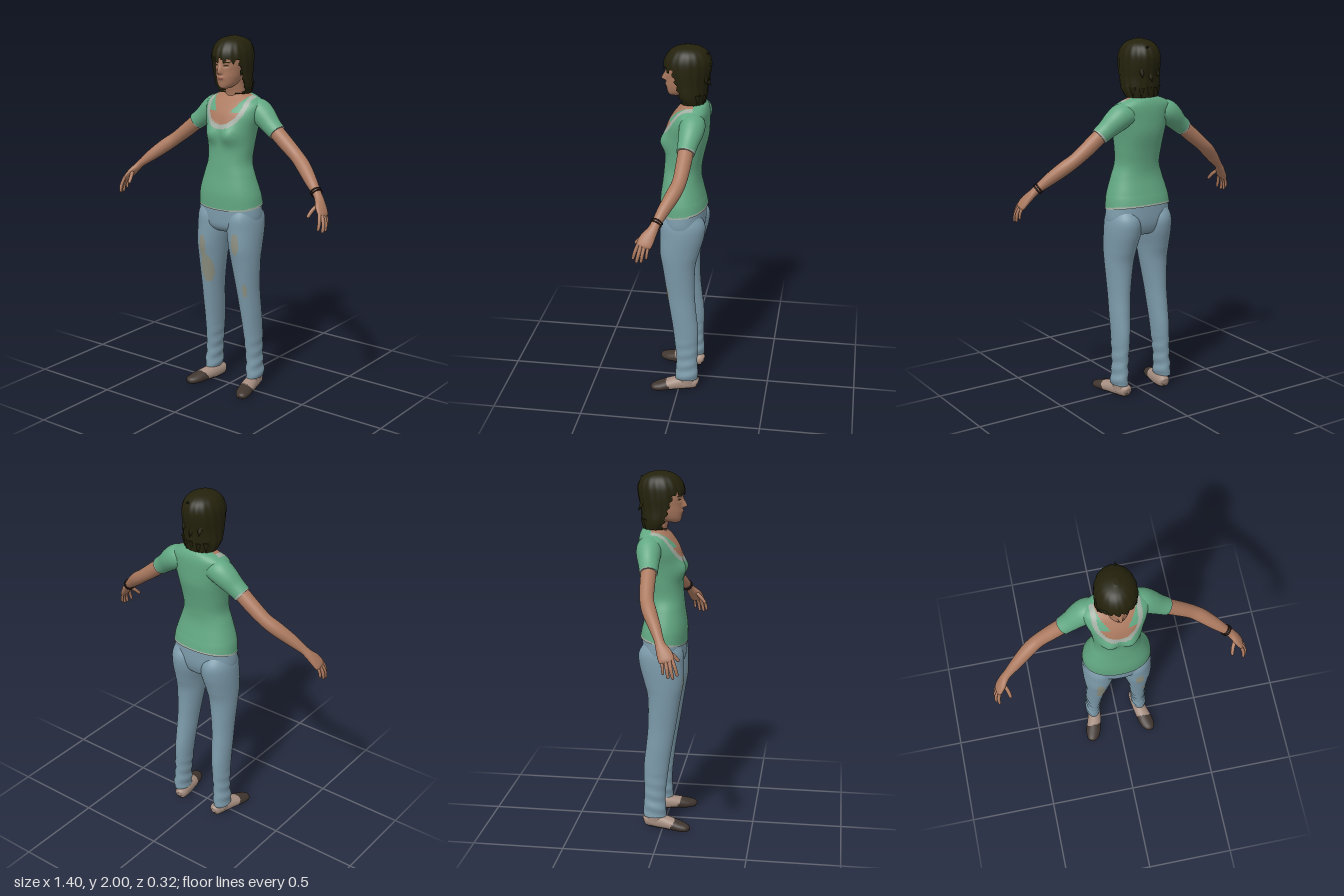
import * as THREE from 'three';

const mat = (name, color, side = THREE.FrontSide) => {
  const m = new THREE.MeshStandardMaterial({ color, side });
  m.name = name;
  return m;
};

// Smooth skin over elliptical cross-sections [x, y, z, radius along ref, other radius].
function loft(sections, { rings = 30, segs = 32, ref = [0, 0, 1], level = false, power = 1, warp } = {}) {
  const path = new THREE.CatmullRomCurve3(sections.map(s => new THREE.Vector3(s[0], s[1], s[2])), false, 'catmullrom');
  const size = new THREE.CatmullRomCurve3(sections.map(s => new THREE.Vector3(s[3], s[4], 0)), false, 'catmullrom');
  const pos = [], idx = [], R = new THREE.Vector3(...ref);
  const bend = n => Math.sign(n) * Math.abs(n) ** power;
  for (let i = 0; i <= rings; i++) {
    const t = i / rings, c = path.getPoint(t), r = size.getPoint(t);
    const d = level ? new THREE.Vector3(0, 1, 0) : path.getTangent(t);
    const a = R.clone().addScaledVector(d, -R.dot(d)).normalize();
    const b = d.clone().cross(a);
    for (let j = 0; j < segs; j++) {
      const q = j / segs * Math.PI * 2;
      const p = c.clone().addScaledVector(a, r.x * bend(Math.cos(q))).addScaledVector(b, r.y * bend(Math.sin(q)));
      if (warp) warp(p, q);
      pos.push(p.x, p.y, p.z);
    }
  }
  for (let i = 0; i < rings; i++) for (let j = 0; j < segs; j++) {
    const k = (j + 1) % segs, a = i * segs, b = a + segs;
    idx.push(a + j, a + k, b + k, a + j, b + k, b + j);
  }
  // End caps with their own corners, so the rim stays sharp
  for (const end of [0, rings]) {
    const base = pos.length / 3, mid = [0, 0, 0];
    for (let j = 0; j < segs; j++) for (let k = 0; k < 3; k++) {
      const n = pos[(end * segs + j) * 3 + k];
      pos.push(n);
      mid[k] += n / segs;
    }
    pos.push(...mid);
    for (let j = 0; j < segs; j++) {
      const k = (j + 1) % segs;
      idx.push(base + segs, base + (end ? j : k), base + (end ? k : j));
    }
  }
  const g = new THREE.BufferGeometry();
  g.setAttribute('position', new THREE.Float32BufferAttribute(pos, 3));
  g.setIndex(idx);
  g.computeVertexNormals();
  return g;
}

// Sort faces into material groups by a rule on their centres; -1 removes a face.
function paint(g, count, rule) {
  const p = g.attributes.position, old = g.index.array, bins = Array.from({ length: count }, () => []);
  for (let i = 0; i < old.length; i += 3) {
    const t = [old[i], old[i + 1], old[i + 2]];
    const avg = f => (p[f](t[0]) + p[f](t[1]) + p[f](t[2])) / 3;
    const m = rule(avg('getX'), avg('getY'), avg('getZ'));
    if (m >= 0) bins[m].push(...t);
  }
  g.setIndex(bins.flat());
  let start = 0;
  bins.forEach((b, i) => { g.addGroup(start, b.length, i); start += b.length; });
  return g;
}

// Level section from height, centre x, half width, front z and back z
const lv = (y, x, w, f, b) => [x, y, (f + b) / 2, (f - b) / 2, w];
const bump = (...n) => Math.exp(-n.reduce((s, v) => s + v * v, 0));
const inOval = (x, y, cx, cy, rx, ry) => ((x - cx) / rx) ** 2 + ((y - cy) / ry) ** 2 < 1;

export function createModel() {
  const model = new THREE.Group();
  const shirt = mat('shirt green', 0x62a883), jeans = mat('denim blue', 0x7c9aaa), skin = mat('skin', 0xac7a60);
  const hair = mat('dark hair', 0x24220c, THREE.DoubleSide), trim = mat('grey trim', 0xa3ada2);
  const worn = mat('worn denim', 0x8f9283), beige = mat('shoe beige', 0xa58d80), sole = mat('shoe brown', 0x40352f);
  const lip = mat('lips', 0x8f5647), dark = mat('bracelet brown', 0x2a1c18);
  const add = (name, geo, material, parent = model) => {
    const m = new THREE.Mesh(geo, material);
    m.name = name;
    parent.add(m);
    return m;
  };

  // Shirt body with scooped neckline, collar flaps and hem
  const body = loft([lv(1.06, 0, .191, .117, -.14), lv(1.15, 0, .181, .118, -.128), lv(1.25, 0, .15, .105, -.106),
    lv(1.32, 0, .128, .098, -.106), lv(1.4, 0, .132, .092, -.12), lv(1.5, 0, .145, .092, -.143),
    lv(1.58, 0, .165, .075, -.147), lv(1.64, 0, .172, .036, -.145), lv(1.672, 0, .13, .006, -.137),
    lv(1.69, 0, .08, -.01, -.125), lv(1.7, 0, .05, -.02, -.11)],
  { rings: 110, segs: 112, level: true, power: .9, warp: p => {
    if (p.z > 0) p.z += .028 * bump((Math.abs(p.x) - .06) / .05, (p.y - 1.475) / .05);
    p.y += THREE.MathUtils.clamp((1.16 - p.y) / .1, 0, 1) * (.117 - p.z) * .15;
  } });
  add('shirtBody', paint(body, 3, (x, y, z) => {
    const ax = Math.abs(x), drop = Math.min(0, y - 1.645);
    if (y - (.117 - z) * .15 < 1.07) return 1;
    if (z < -.07 || Math.hypot(ax / .132, drop / .138) > 1) return 0;
    if (Math.hypot(ax / .106, drop / .112) > 1) return 1;
    return y > 1.6 && y < 1.605 + (ax - .05) * 1.35 ? 0 : 2;
  }), [shirt, trim, skin]);

  // Trouser seat
  add('trouserSeat', loft([lv(.925, 0, .04, .04, -.06), lv(.935, 0, .1, .08, -.1), lv(.965, 0, .17, .105, -.12),
    lv(1.02, 0, .192, .11, -.13), lv(1.12, 0, .182, .108, -.125)], { level: true, segs: 48, power: .9 }), jeans);

  for (const s of [1, -1]) {
    const side = new THREE.Group();
    side.name = s > 0 ? 'leftLimbs' : 'rightLimbs';
    model.add(side);
    const flip = list => list.map(([x, ...rest]) => [x * s, ...rest]);

    // Trouser leg with faded patches
    const leg = loft(flip([lv(1.08, .1, .07, .08, -.1), lv(1.02, .1, .09, .106, -.137), lv(.95, .1, .096, .11, -.135),
      lv(.85, .109, .086, .11, -.108), lv(.76, .114, .077, .095, -.087), lv(.6, .122, .06, .07, -.086),
      lv(.48, .128, .054, .05, -.096), lv(.36, .133, .048, .032, -.108), lv(.2, .14, .042, .015, -.105),
      lv(.11, .145, .044, .019, -.11), lv(.07, .146, .042, .02, -.108)].reverse()),
    { rings: 84, segs: 60, level: true, warp: p => {
      if (p.y < .3) p.x += .003 * Math.sin(p.y * 90 + p.z * 20);
    } });
    add('trouserLeg', paint(leg, 2, (x, y, z) => {
      if (z < 0) return 0;
      return inOval(x, y, -.1, .7, .035, .085) || inOval(x, y, -.113, .83, .022, .07)
        || inOval(x, y, .112, .88, .024, .062) || inOval(x, y, .148, .61, .011, .04) ? 1 : 0;
    }), [jeans, worn], side);

    // Ankle and flat shoe, toes turned out
    add('ankle', loft(flip([lv(.03, .14, .036, .01, -.095), lv(.075, .143, .034, 0, -.09), lv(.14, .143, .034, -.005, -.09)]),
      { level: true, rings: 10 }), beige, side);
    const shoe = loft(flip([[.126, .035, -.11, .012, .014], [.128, .038, -.094, .034, .034], [.137, .035, -.03, .038, .044],
      [.154, .03, .04, .042, .036], [.171, .022, .1, .043, .028], [.185, .017, .14, .03, .02], [.19, .014, .156, .01, .008]]),
    { ref: [1, 0, 0], rings: 36, segs: 36, warp: p => { p.y = Math.max(0, p.y); } });
    add('shoe', paint(shoe, 2, (x, y, z) => y < .014 || z > .04 + y * .5 ? 1 : 0), [beige, sole], side);

    // Sleeve with thin cuff edge
    const sleeve = loft(flip([[.1, 1.6, -.072, .062, .06], [.14, 1.598, -.073, .068, .068], [.18, 1.573, -.07, .065, .064],
      [.23, 1.531, -.062, .054, .053], [.275, 1.496, -.056, .048, .048]]), { rings: 40 });
    add('sleeve', paint(sleeve, 2, (x, y) => Math.abs(x) * .75 - y * .66 > -.788 ? 1 : 0), [shirt, trim], side);

    // Arm and palm
    add('arm', loft(flip([[.24, 1.523, -.058, .042, .042], [.33, 1.45, -.053, .04, .041], [.41, 1.388, -.044, .037, .037],
      [.47, 1.343, -.022, .038, .038], [.54, 1.285, .015, .032, .033], [.6, 1.232, .046, .025, .022],
      [.625, 1.205, .06, .029, .021], [.648, 1.175, .08, .039, .019], [.668, 1.145, .095, .04, .015],
      [.674, 1.132, .1, .03, .009]]), { rings: 50, segs: 24 }), skin, side);

    // Fingers and thumb: root, middle, tip, thickness
    const digits = [[[.667, 1.15, .124], [.678, 1.108, .14], [.678, 1.072, .15], .0095],
      [[.67, 1.148, .108], [.69, 1.1, .12], [.692, 1.06, .13], .01],
      [[.67, 1.147, .09], [.691, 1.1, .1], [.693, 1.063, .106], .0095],
      [[.667, 1.15, .072], [.685, 1.11, .077], [.688, 1.08, .08], .008],
      [[.638, 1.19, .085], [.62, 1.16, .12], [.612, 1.13, .147], .0105]];
    digits.forEach(([a, b, c, r], i) => {
      const tip = c.map((n, k) => n + (c[k] - b[k]) * .12);
      add(i < 4 ? 'finger' : 'thumb', loft(flip([[...a, r, r], [...b, r, r], [...c, r * .8, r * .8], [...tip, r * .2, r * .2]]),
        { rings: 12, segs: 10 }), skin, side);
    });
  }

  // Bracelet on the left wrist
  for (const o of [0, .01]) {
    const ring = add('bracelet', new THREE.TorusGeometry(.028, .004, 8, 32), dark);
    ring.position.set(.588 + o, 1.242 - o * .85, .04 + o * .5);
    ring.quaternion.setFromUnitVectors(new THREE.Vector3(0, 0, 1), new THREE.Vector3(.06, -.052, .03).normalize());
  }

  // Neck
  add('neck', loft([lv(1.64, 0, .075, .0, -.12), lv(1.68, 0, .056, .002, -.11), lv(1.73, 0, .05, .014, -.095),
    lv(1.79, 0, .05, .03, -.09)], { level: true, rings: 16 }), skin);

  // Head with nose, brow and painted features
  const head = loft([lv(1.722, 0, .015, .062, .03), lv(1.73, 0, .032, .076, -.01), lv(1.75, 0, .05, .083, -.05),
    lv(1.785, 0, .064, .087, -.085), lv(1.82, 0, .071, .087, -.105), lv(1.86, 0, .076, .09, -.12),
    lv(1.92, 0, .076, .08, -.12), lv(1.97, 0, .045, .035, -.085)],
  { rings: 96, segs: 96, level: true, warp: p => {
    if (p.z < .02) return;
    const ax = Math.abs(p.x);
    p.z += .027 * bump(p.x / .012, (p.y - 1.812) / (p.y > 1.812 ? .03 : .009));
    p.z += .007 * bump(p.x / .02, (p.y - 1.782) / .012) - .007 * bump((ax - .031) / .014, (p.y - 1.849) / .011);
  } });
  add('head', paint(head, 3, (x, y, z) => {
    const ax = Math.abs(x);
    if (z < .03) return z < 0 && y > 1.79 ? 1 : 0;
    if (inOval(ax, y, .031, 1.849, .013, .0045)) return 1;
    if (inOval(ax, y, .033, 1.868 - Math.abs(ax - .033) * .15, .019, .003)) return 1;
    return inOval(ax, y, 0, 1.78, .021, .0065) ? 2 : 0;
  }), [skin, hair, lip]);

  // Hair shell, cut open round the face with a ragged fringe
  const shell = loft([lv(1.692, 0, .092, .02, -.125), lv(1.735, 0, .106, .06, -.132), lv(1.8, 0, .107, .085, -.138),
    lv(1.87, 0, .109, .1, -.152), lv(1.92, 0, .105, .096, -.153), lv(1.96, 0, .088, .072, -.135),
    lv(1.985, 0, .058, .038, -.1), lv(1.999, 0, .012, -.01, -.05)],
  { rings: 70, segs: 104, level: true, warp: (p, q) => {
    const k = 1 + .014 * Math.sin(q * 17 + p.y * 12) * Math.min(1, (2 - p.y) * 12);
    p.x *= k;
    p.z = (p.z + .03) * k - .03;
  } });
  add('hair', paint(shell, 1, (x, y, z) => {
    const fringe = 1.878 + .012 * Math.sin(x * 150) + .006 * Math.sin(x * 330);
    const edge = THREE.MathUtils.lerp(-.01, .045, (y - 1.7) / .17) + .006 * Math.sin(y * 160);
    return y < fringe && z > edge ? -1 : 0;
  }), [hair]);

  // Loose tufts at the nape and crown
  const tufts = [[-.07, 1.72, -.1], [-.035, 1.715, -.118], [.005, 1.72, -.122], [.045, 1.715, -.115], [.08, 1.72, -.09],
    [-.05, 1.815, -.13], [.0, 1.8, -.138], [.05, 1.82, -.13], [.02, 1.955, -.125]];
  tufts.forEach(([x, y, z], i) => {
    const tuft = add('hairTuft', new THREE.ConeGeometry(.02, .055, 8), hair);
    tuft.position.set(x, y, z);
    const dir = i < 5 ? [x, -1, -.1] : i < 8 ? [x * 3, -1, -.7] : [0, .5, -1];
    tuft.quaternion.setFromUnitVectors(new THREE.Vector3(0, 1, 0), new THREE.Vector3(...dir).normalize());
  });
  return model;
}
